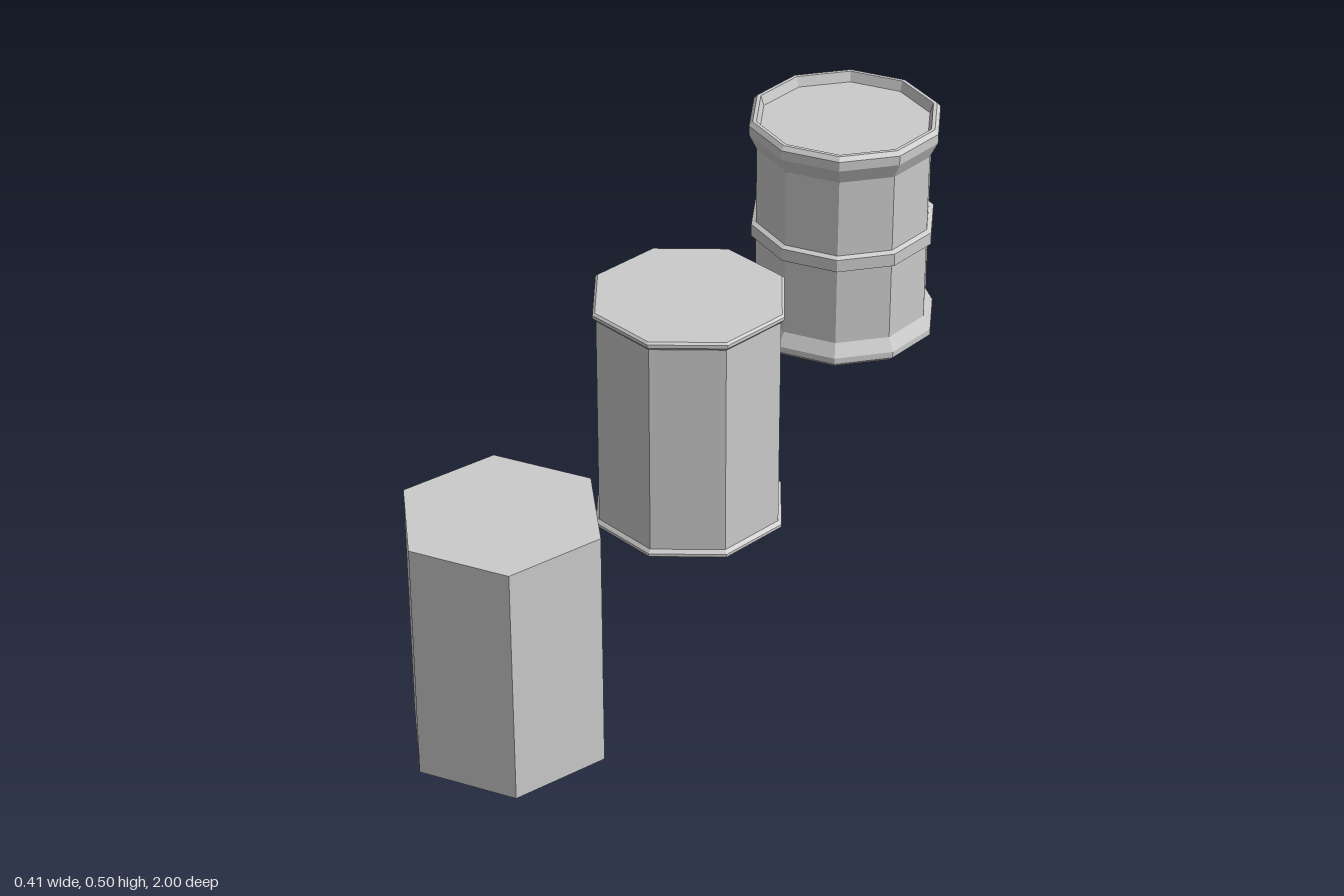
import * as THREE from 'three';

const material = new THREE.MeshStandardMaterial({ color: 0xcccccc, flatShading: true });

// Faceted barrel: [radius, height] profile from bottom centre up to top centre
function barrel(name, profile, sides, startAngle, z) {
  const points = profile.map(([r, y]) => new THREE.Vector2(r, y));
  const geometry = new THREE.LatheGeometry(points, sides, startAngle, Math.PI * 2);
  const mesh = new THREE.Mesh(geometry, material);
  mesh.name = name;
  mesh.position.z = z;
  return mesh;
}

export function createModel() {
  const group = new THREE.Group();
  group.name = 'barrels';

  // Detailed barrel: flared rims, middle hoop, recessed lid and base
  group.add(barrel('detailedBarrel', [
    [0, 0.008], [0.185, 0.008], [0.19, 0.001], [0.197, 0.001],
    [0.206, 0.010], [0.206, 0.024], [0.19, 0.053],
    [0.19, 0.226], [0.2, 0.231], [0.2, 0.259], [0.19, 0.264],
    [0.19, 0.437], [0.207, 0.472], [0.207, 0.493], [0.199, 0.502],
    [0.191, 0.502], [0.184, 0.48], [0, 0.48],
  ], 10, Math.PI / 2, -0.8));

  // Medium barrel: thin rims, flat ends
  group.add(barrel('mediumBarrel', [
    [0, 0.014], [0.192, 0.014], [0.197, 0.018], [0.197, 0.024], [0.19, 0.031],
    [0.19, 0.482], [0.197, 0.489], [0.197, 0.496], [0.192, 0.5], [0, 0.5],
  ], 8, 0, 0.019));

  // Simple barrel: plain hexagonal prism
  group.add(barrel('simpleBarrel', [
    [0, 0.023], [0.19, 0.023], [0.19, 0.497], [0, 0.497],
  ], 6, Math.PI / 2, 0.835));

  return group;
}
